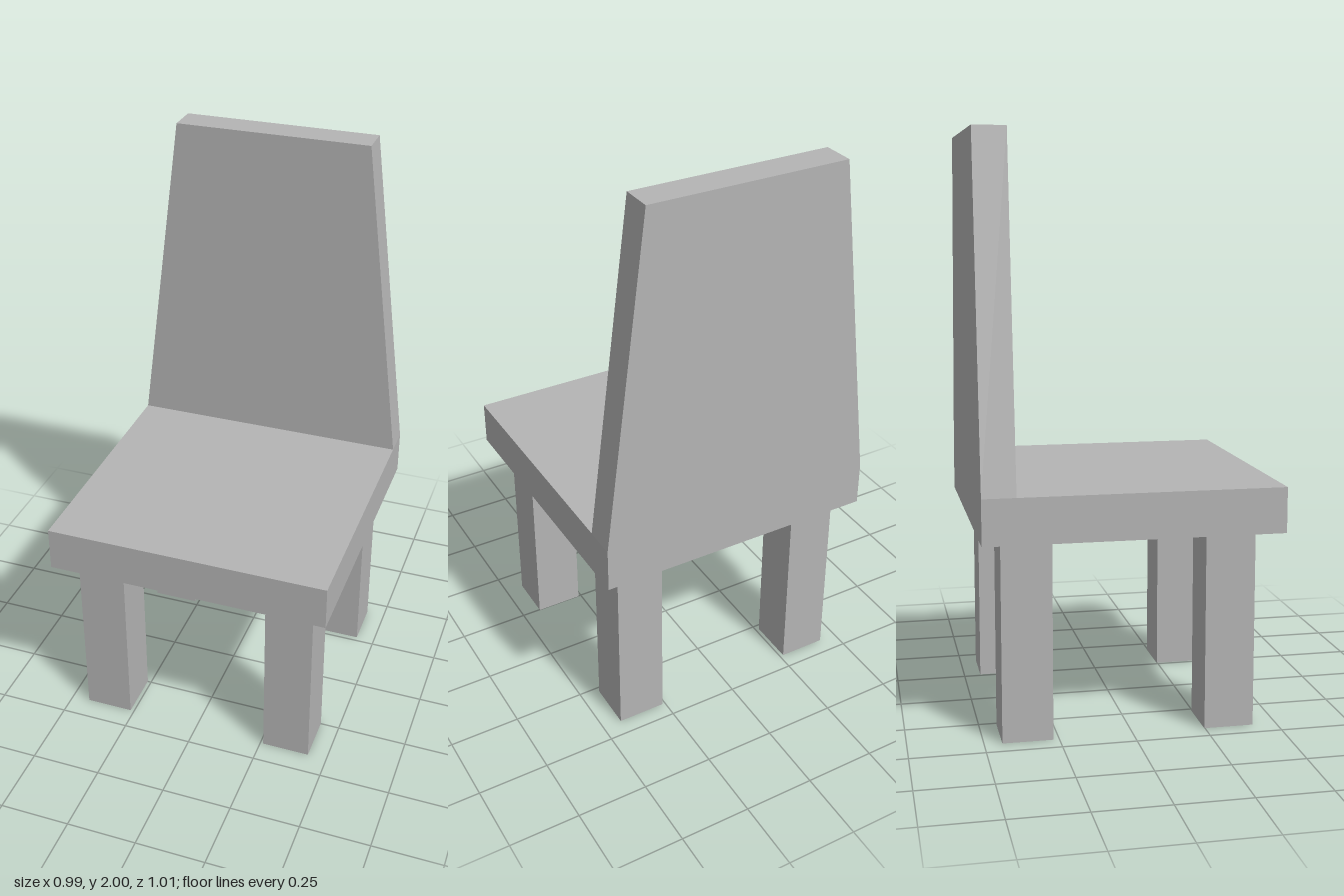
import * as THREE from 'three';

export function createModel() {
  const chair = new THREE.Group();
  chair.name = 'chair';
  const grey = new THREE.MeshStandardMaterial({ color: 0xb4b4b4 });
  grey.name = 'plain grey';

  const legHeight = 0.68, seatTop = 0.835, halfWidth = 0.497, halfDepth = 0.506;

  const add = (name, geometry, x, y, z) => {
    const mesh = new THREE.Mesh(geometry, grey);
    mesh.name = name;
    mesh.position.set(x, y, z);
    chair.add(mesh);
  };

  // Seat slab
  const seatThickness = seatTop - legHeight;
  add('seat', new THREE.BoxGeometry(halfWidth * 2, seatThickness, halfDepth * 2),
    0, legHeight + seatThickness / 2, 0);

  // Backrest: a flat panel narrowing towards the top
  const topHalf = 0.348;
  const panel = new THREE.Shape([
    new THREE.Vector2(-halfWidth, seatTop),
    new THREE.Vector2(halfWidth, seatTop),
    new THREE.Vector2(topHalf, 2),
    new THREE.Vector2(-topHalf, 2),
  ]);
  add('backrest', new THREE.ExtrudeGeometry(panel, { depth: 0.113, bevelEnabled: false }),
    0, 0, -halfDepth);

  // Four square legs, the pairs set slightly back from the centre
  const leg = new THREE.BoxGeometry(0.17, legHeight, 0.17);
  for (const [end, z] of [['front', 0.333], ['back', -0.355]]) {
    for (const [side, x] of [['Left', 0.346], ['Right', -0.349]]) {
      add(`${end}${side}Leg`, leg, x, legHeight / 2, z);
    }
  }

  return chair;
}
